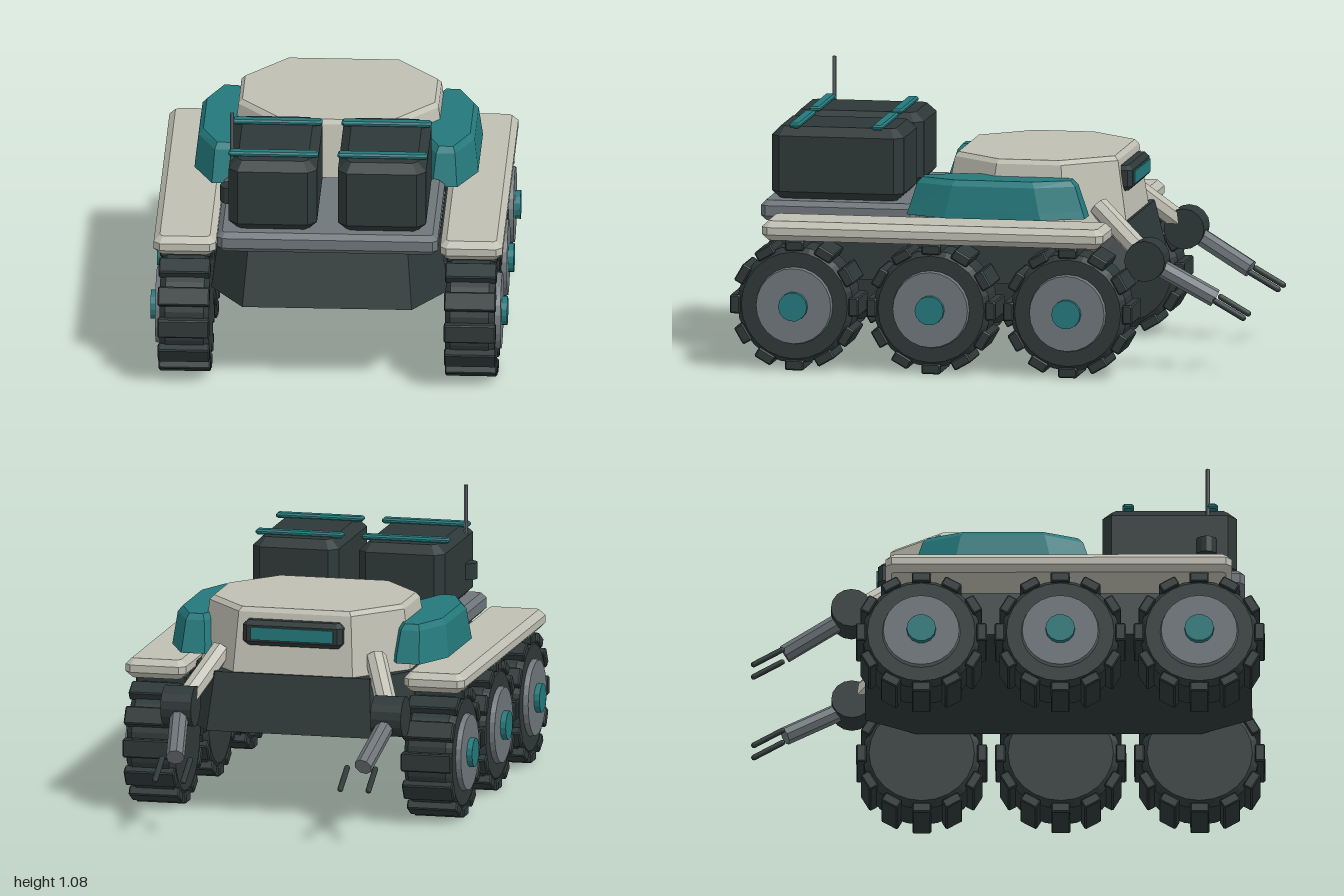
import * as THREE from 'three';

const paint = (name, color) => {
  const m = new THREE.MeshStandardMaterial({ color });
  m.name = name;
  return m;
};

// Flat-faced copy of a geometry
function flat(geo) {
  const g = geo.index ? geo.toNonIndexed() : geo;
  g.computeVertexNormals();
  return g;
}

// Solid lofted through octagon rings: [y, x0, x1, z0, z1, cutX, cutZ], bottom to top
function loft(rings) {
  const pos = [], idx = [], n = rings.length;
  for (const [y, x0, x1, z0, z1, cx, cz] of rings) {
    const pts = [[x1, z1 - cz], [x1, z0 + cz], [x1 - cx, z0], [x0 + cx, z0],
      [x0, z0 + cz], [x0, z1 - cz], [x0 + cx, z1], [x1 - cx, z1]];
    for (const [x, z] of pts) pos.push(x, y, z);
  }
  for (let r = 0; r < n - 1; r++) {
    for (let i = 0; i < 8; i++) {
      const a = r * 8 + i, b = r * 8 + (i + 1) % 8;
      idx.push(a, b, b + 8, a, b + 8, a + 8);
    }
  }
  const top = (n - 1) * 8;
  for (let i = 1; i < 7; i++) idx.push(0, i + 1, i, top, top + i, top + i + 1);
  const g = new THREE.BufferGeometry();
  g.setAttribute('position', new THREE.Float32BufferAttribute(pos, 3));
  g.setIndex(idx);
  return flat(g);
}

// Box with every edge chamfered by b
function chamferBox(x0, x1, y0, y1, z0, z1, b) {
  const inner = [x0 + b, x1 - b, z0 + b, z1 - b, b * 0.5, b * 0.5];
  const outer = [x0, x1, z0, z1, b, b];
  return loft([[y0, ...inner], [y0 + b, ...outer], [y1 - b, ...outer], [y1, ...inner]]);
}

export function createModel() {
  const shell = paint('pale shell', 0xbfbfb3);
  const metal = paint('grey metal', 0x6e767a);
  const teal = paint('teal trim', 0x24797c);
  const dark = paint('dark rubber and hull', 0x2e3838);

  const model = new THREE.Group();
  model.name = 'sixWheeledRover';
  const add = (name, geo, mat, parent = model) => {
    const m = new THREE.Mesh(geo, mat);
    m.name = name;
    parent.add(m);
    return m;
  };
  // Faceted rod between two points
  const rod = (name, a, b, r, sides, mat, parent) => {
    const p = new THREE.Vector3(...a), q = new THREE.Vector3(...b);
    const m = add(name, flat(new THREE.CylinderGeometry(r, r, p.distanceTo(q), sides)), mat, parent);
    m.position.copy(p).add(q).multiplyScalar(0.5);
    m.quaternion.setFromUnitVectors(new THREE.Vector3(0, 1, 0), q.sub(p).normalize());
    return m;
  };

  // Hull, rear deck and cabin
  add('hull', loft([
    [0.335, -0.46, 0.46, -0.555, 0.952, 0.13, 0.2],
    [0.56, -0.43, 0.43, -0.5, 0.87, 0.12, 0.19],
  ]), dark);
  add('cabinCollar', loft([
    [0.55, -0.43, 0.43, 0, 0.33, 0.1, 0.06],
    [0.585, -0.42, 0.42, 0, 0.32, 0.1, 0.06],
  ]), metal);
  add('rearDeck', chamferBox(-0.43, 0.43, 0.55, 0.63, 0.31, 0.925, 0.02), metal);
  add('cabin', loft([
    [0.555, -0.42, 0.42, -0.49, 0.235, 0.18, 0.21],
    [0.795, -0.39, 0.39, -0.455, 0.19, 0.165, 0.195],
    [0.812, -0.375, 0.375, -0.44, 0.178, 0.16, 0.19],
  ]), shell);

  // Visor on the nose of the cabin
  add('visorHousing', chamferBox(-0.2, 0.2, 0.67, 0.77, -0.505, -0.43, 0.018), dark);
  add('visorGlass', new THREE.BoxGeometry(0.33, 0.05, 0.008), teal).position.set(0, 0.72, -0.507);

  // Cargo boxes with straps
  for (const x of [-0.215, 0.21]) {
    add('cargoBox', chamferBox(x - 0.172, x + 0.172, 0.625, 0.914, 0.37, 0.893, 0.035), dark);
    for (const z of [0.47, 0.797]) {
      add('cargoStrap', chamferBox(x - 0.175, x + 0.175, 0.91, 0.931, z - 0.022, z + 0.022, 0.007), teal);
    }
  }

  // Antenna
  rod('antennaBase', [-0.385, 0.71, 0.775], [-0.385, 0.775, 0.775], 0.04, 12, dark);
  rod('antennaMast', [-0.378, 0.74, 0.78], [-0.378, 1.08, 0.78], 0.008, 8, metal);

  // Wheel, built about the x axis; side +1 or -1 faces outward
  const disc = (r1, r2, from, to, sides) => {
    const g = new THREE.CylinderGeometry(r2, r1, to - from, sides);
    g.translate(0, (from + to) / 2, 0);
    return flat(g);
  };
  const tyreProfile = [[0, 0.46], [0.205, 0.46], [0.23, 0.48], [0.23, 0.63], [0.21, 0.653], [0, 0.653]]
    .map(([r, y]) => new THREE.Vector2(r, y));
  const tyreGeo = flat(new THREE.LatheGeometry(tyreProfile, 24));
  const rimGeo = disc(0.155, 0.148, 0.64, 0.673, 24);
  const capGeo = disc(0.057, 0.057, 0.66, 0.695, 14);
  const lugGeo = chamferBox(-0.037, 0.037, 0.457, 0.659, -0.02, 0.02, 0.005);

  for (const s of [1, -1]) {
    for (const z of [0.747, 0.206, -0.335]) {
      const wheel = new THREE.Group();
      wheel.name = 'wheel';
      wheel.position.set(0, 0.255, z);
      wheel.rotation.z = -s * Math.PI / 2;
      add('tyre', tyreGeo, dark, wheel);
      add('rim', rimGeo, metal, wheel);
      add('hubCap', capGeo, teal, wheel);
      for (let i = 0; i < 12; i++) {
        const a = i * Math.PI / 6;
        const lug = add('treadLug', lugGeo, dark, wheel);
        lug.position.set(Math.sin(a) * 0.235, 0, Math.cos(a) * 0.235);
        lug.rotation.y = a;
      }
      model.add(wheel);
    }

    // Fender and side pod
    const span = (a, b) => (s > 0 ? [a, b] : [-b, -a]);
    add('fender', chamferBox(...span(0.437, 0.68), 0.51, 0.587, -0.475, 0.875, 0.024), shell);
    add('sidePod', loft([
      [0.6, ...span(0.31, 0.553), -0.37, 0.335, 0.075, 0.16],
      [0.63, ...span(0.31, 0.55), -0.36, 0.325, 0.075, 0.16],
      [0.725, ...span(0.325, 0.538), -0.33, 0.295, 0.07, 0.15],
      [0.747, ...span(0.345, 0.52), -0.31, 0.275, 0.06, 0.14],
    ]), teal);

    // Manipulator arm with a two-finger gripper
    const arm = new THREE.Group();
    arm.name = 'arm';
    model.add(arm);
    rod('upperArm', [s * 0.31, 0.625, -0.395], [s * 0.415, 0.445, -0.605], 0.042, 8, shell, arm);
    rod('elbow', [s * 0.36, 0.44, -0.607], [s * 0.482, 0.44, -0.607], 0.08, 16, dark, arm);
    rod('forearm', [s * 0.42, 0.43, -0.62], [s * 0.377, 0.288, -0.868], 0.036, 8, metal, arm);
    for (const x of [0.315, 0.428]) {
      const finger = add('gripperFinger', new THREE.CapsuleGeometry(0.012, 0.125, 3, 8), dark, arm);
      finger.position.set(s * x, 0.252, -0.933);
      finger.rotation.x = -Math.PI / 2 - 0.52;
    }
  }
  return model;
}
